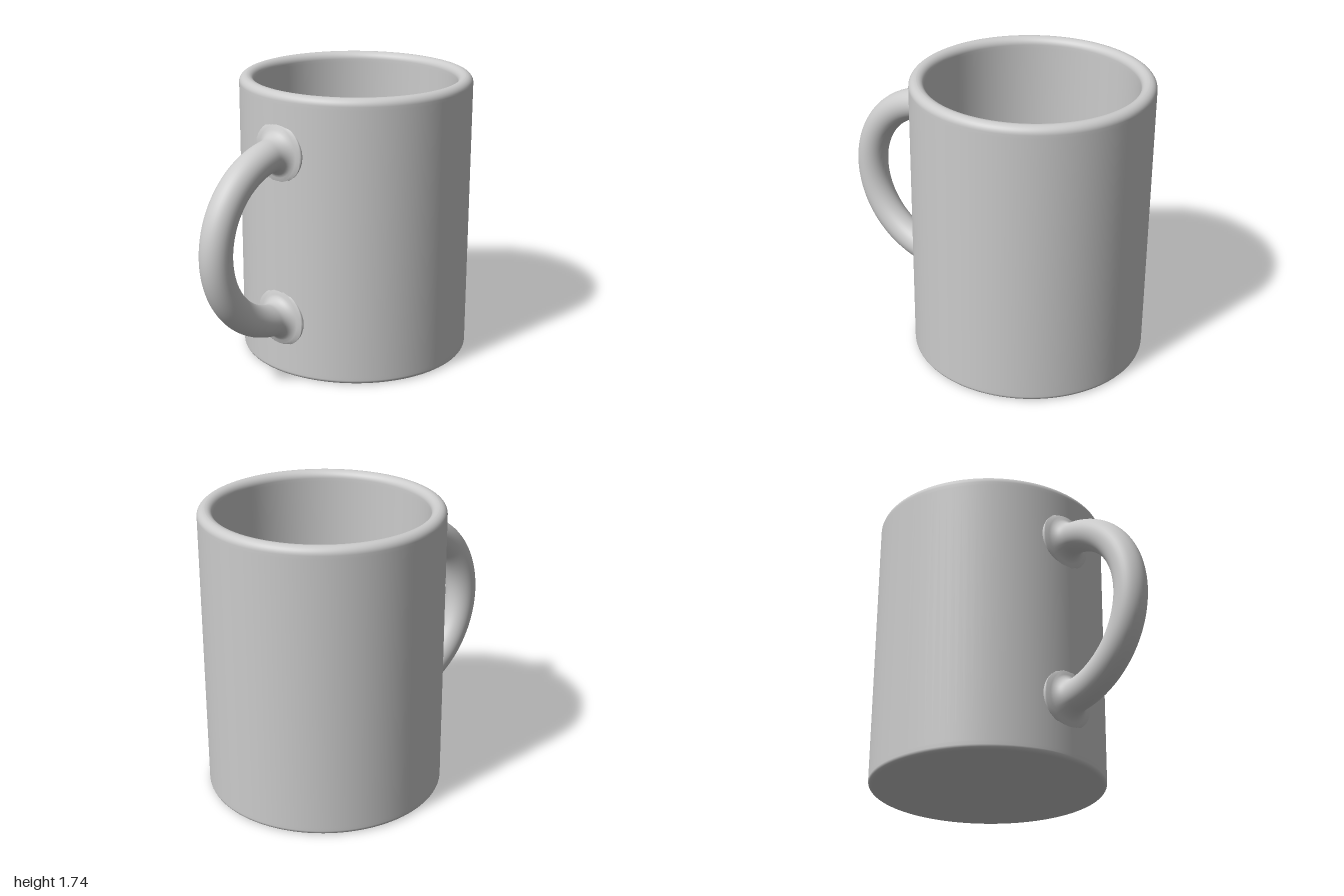
import * as THREE from 'three';

const RADIUS = 0.705, INNER = 0.615, HEIGHT = 1.735, FLOOR = 0.1, AXIS_Z = -0.295;

// Points of a rounded profile corner, swept from angle a0 to a1 (degrees)
function corner(cx, cy, r, a0, a1, steps = 8) {
  return Array.from({ length: steps + 1 }, (_, i) => {
    const a = THREE.MathUtils.degToRad(a0 + (a1 - a0) * i / steps);
    return new THREE.Vector2(cx + r * Math.cos(a), cy + r * Math.sin(a));
  });
}

// Cup wall, rim, floor and base as one turned profile
function cupGeometry() {
  const base = 0.025, rim = 0.044, fillet = 0.03;
  const profile = [
    new THREE.Vector2(0, 0),
    new THREE.Vector2(RADIUS - base - 0.02, 0),
    ...corner(RADIUS - base, base, base, -90, 0),
    new THREE.Vector2(RADIUS, base + 0.02),
    new THREE.Vector2(RADIUS, HEIGHT - rim - 0.02),
    ...corner(RADIUS - rim, HEIGHT - rim, rim, 0, 90),
    ...corner(INNER + rim, HEIGHT - rim, rim, 90, 180),
    new THREE.Vector2(INNER, HEIGHT - rim - 0.02),
    new THREE.Vector2(INNER, FLOOR + fillet + 0.02),
    ...corner(INNER - fillet, FLOOR + fillet, fillet, 0, -90),
    new THREE.Vector2(INNER - fillet - 0.02, FLOOR),
    new THREE.Vector2(0, FLOOR),
  ];
  return new THREE.LatheGeometry(profile, 96);
}

// Round handle loop whose section flares into a fillet where it nears the cup wall
function handleGeometry() {
  const rings = 120, sides = 36, loopR = 0.512, loopZ = 0.7, loopY = 0.872;
  const tube = 0.096, fillet = 0.08;
  const positions = [], indices = [];
  for (let i = 0; i <= rings; i++) {
    // rings crowd together toward both ends, where the fillets are
    const t = THREE.MathUtils.degToRad(94) * Math.sin((i / rings * 2 - 1) * Math.PI / 2);
    const ny = Math.sin(t), nz = Math.cos(t);
    for (let j = 0; j < sides; j++) {
      const p = j / sides * Math.PI * 2;
      const point = r => new THREE.Vector3(
        r * Math.sin(p),
        loopY + ny * (loopR + r * Math.cos(p)),
        loopZ + nz * (loopR + r * Math.cos(p)));
      const plain = point(tube);
      const gap = THREE.MathUtils.clamp(Math.hypot(plain.x, plain.z) - RADIUS, 0, fillet);
      const flare = fillet - Math.sqrt(fillet ** 2 - (fillet - gap) ** 2);
      positions.push(...point(tube + flare).toArray());
      if (i < rings) {
        const k = (j + 1) % sides, a = i * sides + j, b = i * sides + k;
        indices.push(a, b, b + sides, a, b + sides, a + sides);
      }
    }
  }
  const geometry = new THREE.BufferGeometry();
  geometry.setAttribute('position', new THREE.Float32BufferAttribute(positions, 3));
  geometry.setIndex(indices);
  geometry.computeVertexNormals();
  return geometry;
}

export function createModel() {
  const material = new THREE.MeshStandardMaterial({ color: 0xcccccc });
  const mug = new THREE.Group();
  mug.name = 'mug';

  const cup = new THREE.Mesh(cupGeometry(), material);
  cup.name = 'cup';

  // The handle points out from the cup, turned a little to the right
  const handle = new THREE.Mesh(handleGeometry(), material);
  handle.name = 'handle';
  handle.rotation.y = THREE.MathUtils.degToRad(-9);

  for (const part of [cup, handle]) {
    part.position.z = AXIS_Z;
    mug.add(part);
  }
  return mug;
}
